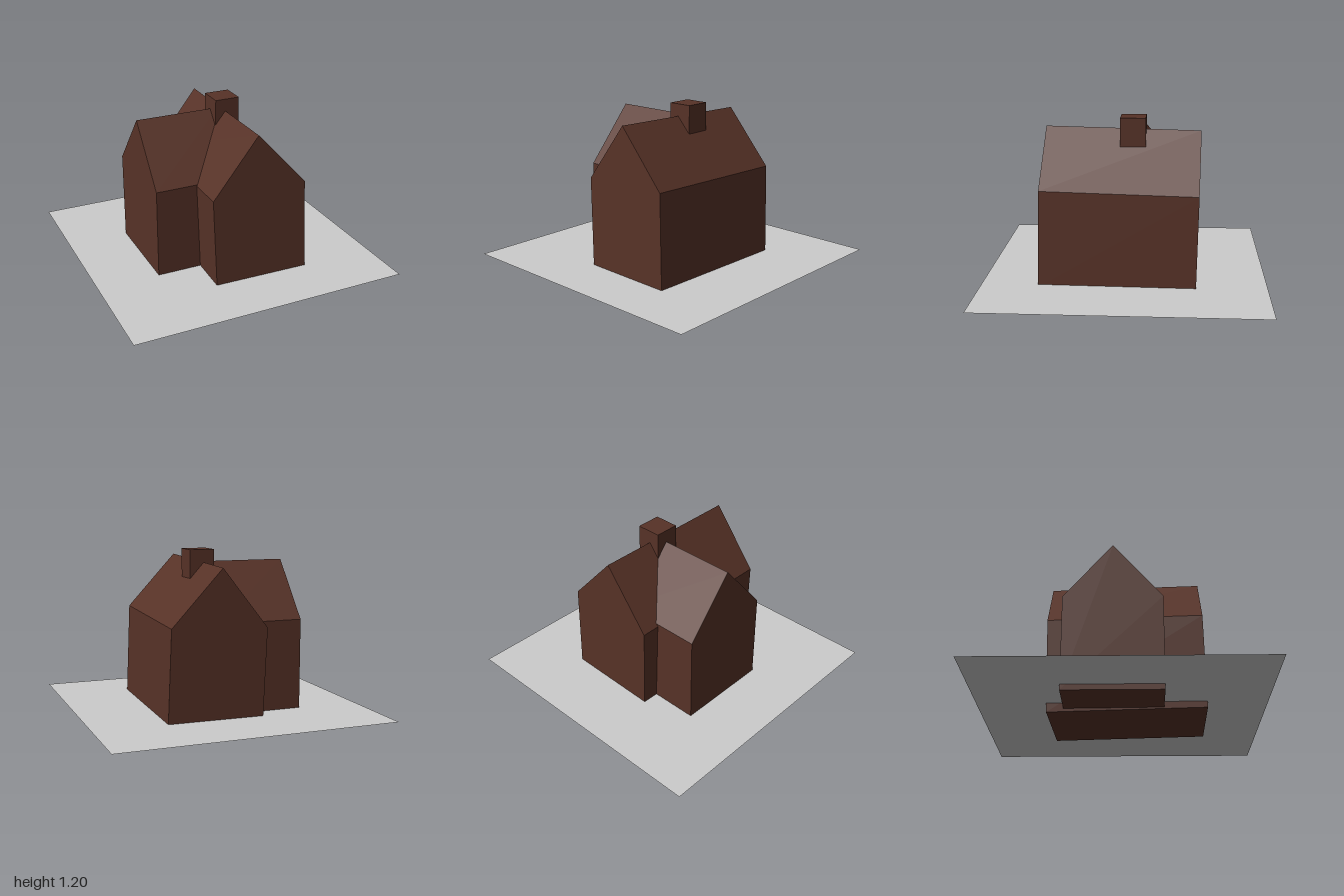
import * as THREE from 'three';

const brown = new THREE.MeshStandardMaterial({ color: 0x573227, flatShading: true });
const grey = new THREE.MeshStandardMaterial({ color: 0xcccccc, side: THREE.DoubleSide });

// Gabled block: front bottom-left corner at the origin, running back along -z
function gabledBlock(name, width, eave, ridge, depth) {
  const gable = new THREE.Shape([
    new THREE.Vector2(0, 0),
    new THREE.Vector2(width, 0),
    new THREE.Vector2(width, eave),
    new THREE.Vector2(width / 2, ridge),
    new THREE.Vector2(0, eave),
  ]);
  const geometry = new THREE.ExtrudeGeometry(gable, { depth, bevelEnabled: false });
  geometry.translate(0, 0, -depth);
  const mesh = new THREE.Mesh(geometry, brown);
  mesh.name = name;
  return mesh;
}

export function createModel() {
  const model = new THREE.Group();
  model.name = 'house';

  // Main block, leaning slightly on every axis
  const mainHouse = gabledBlock('mainHouse', 0.69, 0.688, 1.095, 1.105);
  mainHouse.rotation.set(-0.018, -0.0226, 0.036);
  mainHouse.position.set(-0.233, 0.025, 0.587);
  model.add(mainHouse);

  // Side wing, its gable facing -x and its far end buried in the main block
  const sideWing = gabledBlock('sideWing', 0.69, 0.685, 1.09, 0.62);
  sideWing.rotation.y = -Math.PI / 2;
  sideWing.position.set(-0.55, 0.03, -0.4);
  model.add(sideWing);

  // Chimney across the ridge
  const chimney = new THREE.Mesh(new THREE.BoxGeometry(0.18, 0.24, 0.18), brown);
  chimney.name = 'chimney';
  chimney.position.set(0.1, 1.09, -0.05);
  model.add(chimney);

  // Flat ground sheet, just above the underside of the walls
  const plot = new THREE.Mesh(new THREE.PlaneGeometry(2, 2), grey);
  plot.name = 'groundSheet';
  plot.rotation.x = -Math.PI / 2;
  plot.position.y = 0.07;
  model.add(plot);

  return model;
}
